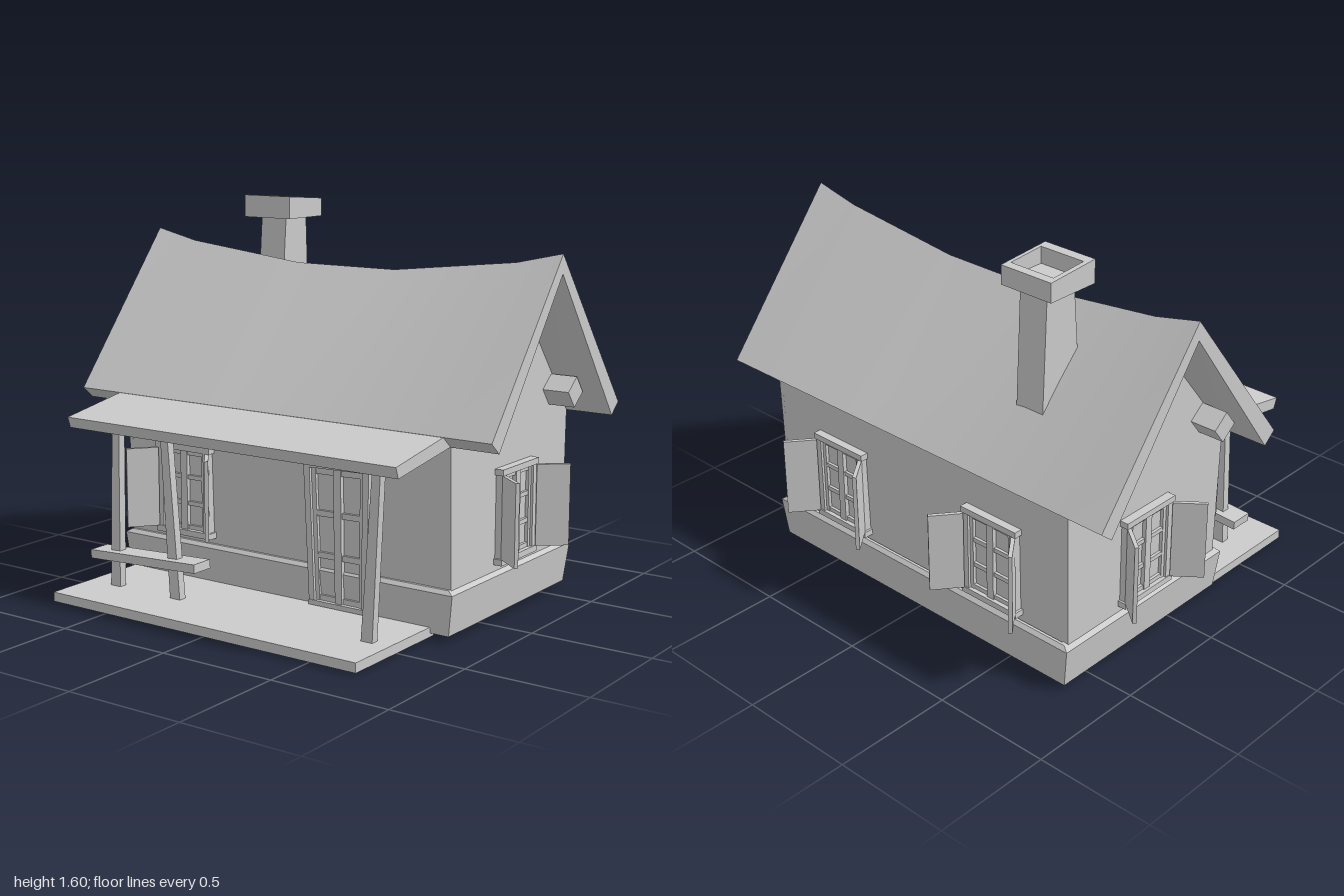
import * as THREE from 'three';
import { toCreasedNormals } from 'three/addons/utils/BufferGeometryUtils.js';

const grey = new THREE.MeshStandardMaterial({ color: 0xcccccc, side: THREE.DoubleSide });

function add(parent, name, geometry) {
  const mesh = new THREE.Mesh(toCreasedNormals(geometry, 0.5), grey);
  mesh.name = name;
  parent.add(mesh);
  return mesh;
}

// Box given by its limits on each axis
function span(x0, x1, y0, y1, z0, z1) {
  return new THREE.BoxGeometry(x1 - x0, y1 - y0, z1 - z0)
    .translate((x0 + x1) / 2, (y0 + y1) / 2, (z0 + z1) / 2);
}

// Move every vertex by a rule
function warp(geometry, rule) {
  const p = geometry.attributes.position;
  const v = new THREE.Vector3();
  for (let i = 0; i < p.count; i++) {
    rule(v.fromBufferAttribute(p, i));
    p.setXYZ(i, v.x, v.y, v.z);
  }
  return geometry;
}

// Outline of [z, y] points extruded along x, centred on x
function profile(points, length, x = 0, steps = 1) {
  const shape = new THREE.Shape(points.map(([z, y]) => new THREE.Vector2(z, y)));
  return new THREE.ExtrudeGeometry(shape, { depth: length, steps, bevelEnabled: false })
    .rotateY(-Math.PI / 2).translate(x + length / 2, 0, 0);
}

// Window with frame, bars and open shutters; faces local +z, wall at z = 0
function createWindow(name) {
  const g = new THREE.Group();
  g.name = name;
  const yLow = 0.25, yHigh = 0.585;
  add(g, 'sill', span(-0.142, 0.142, 0.225, yLow, -0.04, 0.037));
  add(g, 'head', span(-0.142, 0.142, yHigh, 0.61, -0.04, 0.037));
  add(g, 'pane', span(-0.11, 0.11, yLow, yHigh, -0.01, 0.008));
  add(g, 'middleStile', span(-0.017, 0.017, yLow, yHigh, 0, 0.026));
  for (const s of [-1, 1]) {
    add(g, 'jamb', span(-0.0125, 0.0125, yLow, yHigh, -0.04, 0.033).translate(s * 0.12, 0, 0));
    add(g, 'sideStile', span(-0.009, 0.009, yLow, yHigh, 0, 0.022).translate(s * 0.1, 0, 0));
    const shutter = add(g, 'shutter', span(0, 0.135, yLow, yHigh, -0.008, 0.008));
    shutter.position.set(s * 0.13, 0, 0.035);
    shutter.rotation.y = s > 0 ? -0.9 : Math.PI + 0.9;
  }
  for (const y of [0.26, 0.362, 0.473, 0.575]) {
    add(g, 'bar', span(-0.1, 0.1, y - 0.009, y + 0.009, 0, 0.02));
  }
  return g;
}

// Double door with a frame that widens towards the top
function createDoor() {
  const g = new THREE.Group();
  g.name = 'door';
  const lean = (v) => {
    const t = (v.y - 0.05) / 0.58;
    v.x = v.x * (0.9 + 0.12 * t) + 0.303 - 0.01 * t;
    v.y += 0.03 * t * (v.x - 0.3);
  };
  const part = (name, ...limits) => add(g, name, warp(span(...limits), lean));
  part('head', -0.152, 0.152, 0.605, 0.63, 0.23, 0.31);
  part('threshold', -0.152, 0.152, 0.045, 0.065, 0.23, 0.31);
  part('panel', -0.125, 0.125, 0.06, 0.605, 0.26, 0.28);
  part('middleStile', -0.018, 0.018, 0.06, 0.605, 0.27, 0.3);
  for (const s of [-1, 1]) {
    part('jamb', s * 0.138 - 0.014, s * 0.138 + 0.014, 0.05, 0.61, 0.23, 0.307);
    part('sideStile', s * 0.114 - 0.01, s * 0.114 + 0.01, 0.06, 0.605, 0.27, 0.294);
  }
  for (const y of [0.075, 0.25, 0.42, 0.59]) {
    part('rail', -0.12, 0.12, y - 0.012, y + 0.012, 0.27, 0.292);
  }
  return g;
}

export function createModel() {
  const house = new THREE.Group();
  house.name = 'cottage';

  // Foundation ring, open underneath
  const ring = [[0.945, 0.2], [0.945, 0.02], [0.975, 0.02], [1, 0.185], [0.97, 0.2], [0.945, 0.2]]
    .map(([r, y]) => new THREE.Vector2(r * Math.SQRT2, y));
  add(house, 'foundation', new THREE.LatheGeometry(ring, 4, Math.PI / 4)
    .scale(0.815, 1, 0.472).translate(0, 0, -0.183));

  // Walls
  add(house, 'frontWall', profile([[0.26, 0.1], [0.28, 0.77], [0.262, 0.77], [0.242, 0.1]], 1.588));
  add(house, 'backWall', profile([[-0.622, 0.1], [-0.636, 0.77], [-0.618, 0.77], [-0.604, 0.1]], 1.588));
  for (const s of [-1, 1]) {
    add(house, 'gableWall', profile(
      [[0.26, 0.1], [0.28, 0.762], [-0.18, 1.33], [-0.636, 0.762], [-0.622, 0.1]], 0.018, s * 0.786));
  }

  // Roof with a sagging ridge
  const stations = [1, 0.8, 0.24, -0.24, -0.8, -1];
  const sag = [0, 0.045, 0.108, 0.108, 0.045, 0];
  const roof = profile([[0.335, 0.8], [-0.18, 1.445], [-0.692, 0.8],
    [-0.635, 0.753], [-0.18, 1.368], [0.28, 0.753]], 5, 0, 5);
  add(house, 'roof', warp(roof, (v) => {
    const i = Math.round(2.5 - v.x);
    v.x = stations[i];
    if (v.y > 1) v.y -= sag[i];
  }));

  // Purlin ends under the gables
  for (const s of [-1, 1]) {
    for (const [z, tilt] of [[0.135, 0.9], [-0.488, -0.9]]) {
      const beam = add(house, 'purlinEnd', new THREE.BoxGeometry(0.16, 0.088, 0.088));
      beam.position.set(s * 0.83, 0.86, z);
      beam.rotation.x = tilt;
    }
  }

  // Chimney: tapered shaft and hollow cap with a sloping top
  const shaft = span(-0.545, -0.415, 0.95, 1.51, -0.475, -0.33);
  add(house, 'chimneyShaft', warp(shaft, (v) => {
    if (v.y < 1) v.z += v.z < -0.4 ? -0.024 : 0.045;
  }));
  const cap = new THREE.Group();
  cap.name = 'chimneyCap';
  house.add(cap);
  const slope = (v) => { if (v.y > 1.55) v.y += (v.z + 0.287) * 0.075; };
  for (const [x0, x1, z0, z1] of [
    [-0.605, -0.584, -0.522, -0.287], [-0.381, -0.365, -0.522, -0.287],
    [-0.584, -0.381, -0.522, -0.487], [-0.584, -0.381, -0.327, -0.287]]) {
    add(cap, 'capSide', warp(span(x0, x1, 1.505, 1.6, z0, z1), slope));
  }
  add(cap, 'capFloor', span(-0.59, -0.375, 1.505, 1.53, -0.5, -0.31));

  // Porch
  const porch = new THREE.Group();
  porch.name = 'porch';
  house.add(porch);
  add(porch, 'porchRoof', profile([[0.3, 0.805], [0.65, 0.745], [0.635, 0.7], [0.275, 0.755]], 1.588));
  add(porch, 'porchFloor', span(-0.775, 0.712, 0.004, 0.043, 0.25, 0.777));
  for (const [low, high] of [[-0.63, -0.612], [-0.308, -0.358], [0.612, 0.655]]) {
    const post = span(-0.026, 0.026, 0, 0.72, 0.53, 0.565);
    add(porch, 'post', warp(post, (v) => {
      v.x = v.y > 0.3 ? v.x * 0.7 + high : v.x + low;
    }));
  }
  const rail = add(porch, 'crossRail', new THREE.BoxGeometry(0.55, 0.036, 0.1));
  rail.position.set(-0.455, 0.184, 0.55);
  rail.rotation.z = 0.046;

  // Door and windows
  house.add(createDoor());
  const places = [
    ['frontWindow', -0.48, 0.272, 0],
    ['backWindow', -0.423, -0.63, Math.PI],
    ['backWindow', 0.415, -0.63, Math.PI],
    ['leftWindow', 0.795, -0.195, Math.PI / 2],
    ['rightWindow', -0.795, -0.195, -Math.PI / 2],
  ];
  for (const [name, x, z, turn] of places) {
    const w = createWindow(name);
    w.position.set(x, 0, z);
    w.rotation.y = turn;
    house.add(w);
  }
  return house;
}
